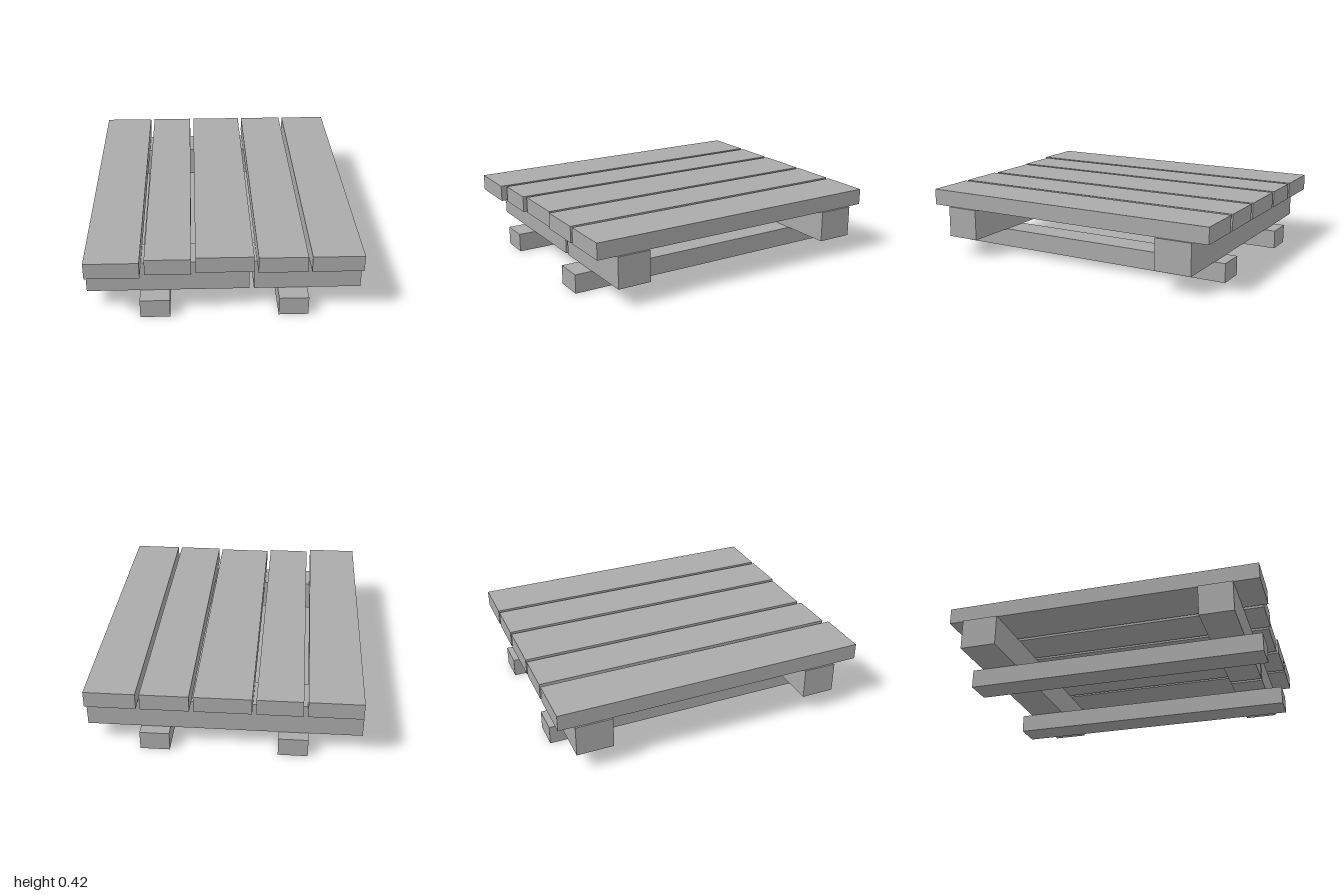
import * as THREE from 'three';

export function createModel() {
  const model = new THREE.Group();
  model.name = 'pallet';
  const timber = new THREE.MeshStandardMaterial({ color: 0xaaaaaa });
  timber.name = 'grey timber';

  // One squared timber, given by its extents on each axis
  function addTimber(name, [x0, x1], [y0, y1], [z0, z1]) {
    const mesh = new THREE.Mesh(new THREE.BoxGeometry(x1 - x0, y1 - y0, z1 - z0), timber);
    mesh.position.set((x0 + x1) / 2, (y0 + y1) / 2, (z0 + z1) / 2);
    mesh.name = name;
    model.add(mesh);
  }

  const runnerY = [0, 0.12];
  const beamY = [0.12, 0.317];
  const plankY = [0.317, 0.42];

  // Deck planks of uneven width, flush at the back and ragged at the front
  [
    [-0.827, -0.502, 1.0],
    [-0.475, -0.2, 0.97],
    [-0.175, 0.171, 0.955],
    [0.196, 0.489, 0.967],
    [0.513, 0.822, 0.967],
  ].forEach(([x0, x1, front], i) => addTimber(`deckPlank${i + 1}`, [x0, x1], plankY, [-1, front]));

  // Cross beams: one piece at the back, two pieces with a gap at the front
  addTimber('backBeam', [-0.838, 0.835], beamY, [-0.9, -0.667]);
  addTimber('frontBeamRight', [-0.838, 0.153], beamY, [0.63, 0.843]);
  addTimber('frontBeamLeft', [0.18, 0.835], beamY, [0.63, 0.843]);

  // Ground runners
  addTimber('rightRunner', [-0.513, -0.332], runnerY, [-0.97, 0.955]);
  addTimber('leftRunner', [0.326, 0.507], runnerY, [-0.97, 0.955]);

  return model;
}
